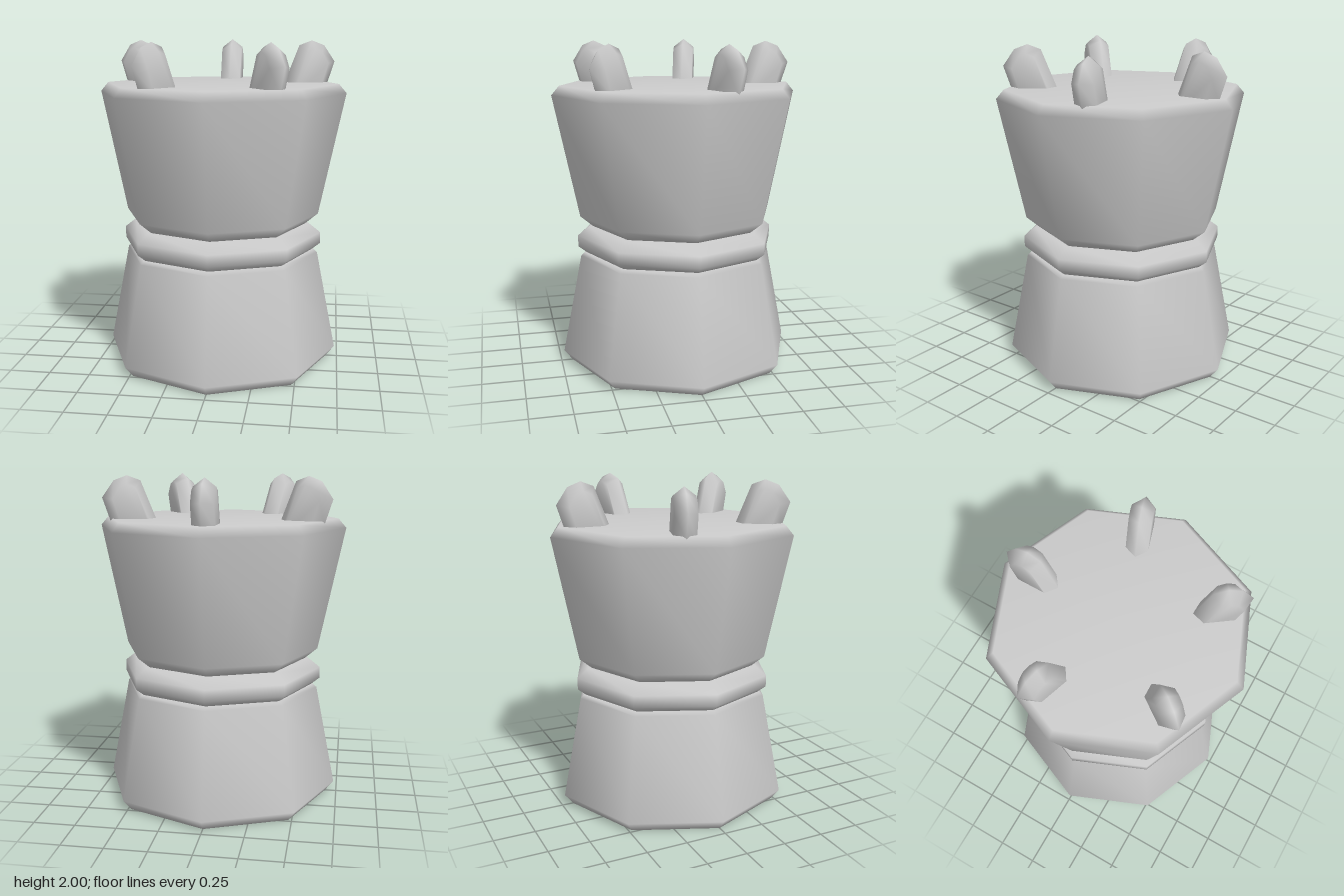
import * as THREE from 'three';
import { mergeVertices } from 'three/addons/utils/BufferGeometryUtils.js';

const stone = new THREE.MeshStandardMaterial({ color: 0xcccccc });
stone.name = 'grey stone';

// Eight-sided turned part with softly blended normals
function turned(name, profile) {
  const geometry = new THREE.LatheGeometry(profile.map(([r, y]) => new THREE.Vector2(r, y)), 8);
  geometry.deleteAttribute('normal');
  geometry.deleteAttribute('uv');
  const merged = mergeVertices(geometry);
  merged.computeVertexNormals();
  const mesh = new THREE.Mesh(merged, stone);
  mesh.name = name;
  return mesh;
}

// Bevelled blade: a narrow outline, the full outline on the middle plane, then narrow again
function bladeGeometry() {
  const outer = [[0.37, 1.62], [0.40, 1.745], [0.49, 1.97], [0.57, 2.0], [0.65, 1.97], [0.72, 1.87], [0.67, 1.72], [0.64, 1.62]];
  const inner = [[0.43, 1.65], [0.45, 1.745], [0.525, 1.93], [0.575, 1.95], [0.62, 1.93], [0.66, 1.86], [0.615, 1.72], [0.59, 1.65]];
  const n = outer.length;
  const positions = [];
  [[inner, -0.065], [outer, 0], [inner, 0.065]].forEach(([loop, x]) => {
    loop.forEach(([r, y]) => positions.push(x, y, r));
  });
  const index = [];
  for (let k = 0; k < 2; k++) {
    for (let i = 0; i < n; i++) {
      const a = k * n + i, b = k * n + (i + 1) % n;
      index.push(a, b, b + n, a, b + n, a + n);
    }
  }
  // flat sides of the blade
  for (let i = 1; i < n - 1; i++) {
    index.push(0, i + 1, i);
    index.push(2 * n, 2 * n + i, 2 * n + i + 1);
  }
  const geometry = new THREE.BufferGeometry();
  geometry.setAttribute('position', new THREE.Float32BufferAttribute(positions, 3));
  geometry.setIndex(index);
  geometry.computeVertexNormals();
  return geometry;
}

export function createModel() {
  const model = new THREE.Group();
  model.name = 'crownedPedestal';

  model.add(
    turned('base', [[0, 0], [0.68, 0], [0.732, 0.065], [0.608, 0.69], [0.585, 0.71], [0, 0.71]]),
    turned('collar', [[0, 0.71], [0.575, 0.71], [0.625, 0.75], [0.625, 0.82], [0.555, 0.875], [0, 0.875]]),
    turned('cup', [[0, 0.875], [0.53, 0.875], [0.608, 0.94], [0.762, 1.69], [0.715, 1.745], [0, 1.745]])
  );

  // Five prongs leaning outward, the first at the back
  const blade = bladeGeometry();
  for (let i = 0; i < 5; i++) {
    const prong = new THREE.Mesh(blade, stone);
    prong.name = `prong${i + 1}`;
    prong.rotation.y = Math.PI + (i * 2 * Math.PI) / 5;
    model.add(prong);
  }
  return model;
}
